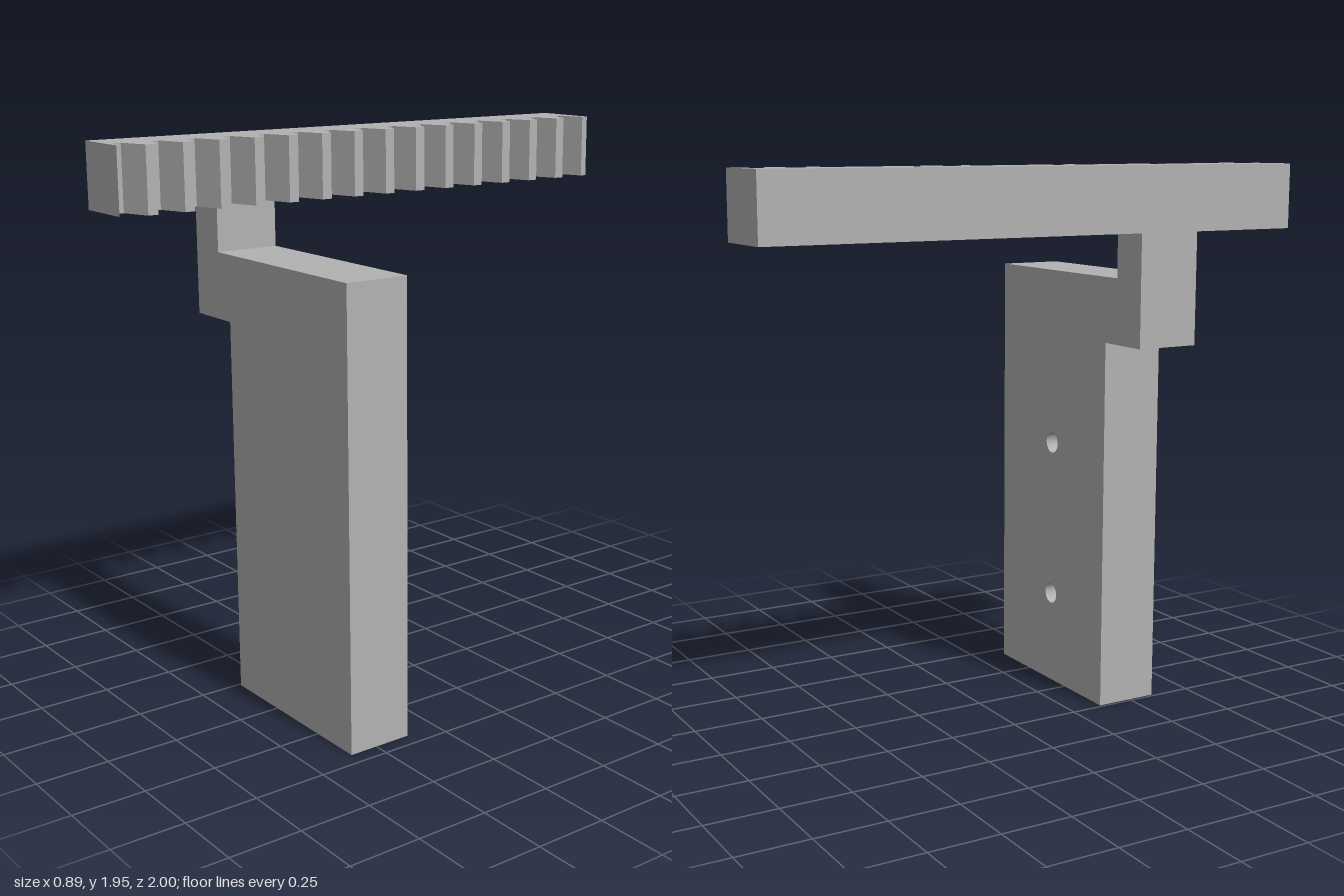
import * as THREE from 'three';

const BACK_Z = 0.37, FRONT_Z = 0.6;
const HOLE_RADIUS = 0.038, HOLE_DEPTH = 0.15;
const HOLES = [[0.1, 0.34], [0.1, 0.92]];

const extrude = (shape, depth) =>
  new THREE.ExtrudeGeometry(shape, { depth, bevelEnabled: false, curveSegments: 12 });

function part(name, geometry, material) {
  const mesh = new THREE.Mesh(geometry, material);
  mesh.name = name;
  return mesh;
}

const circle = (Type, x, y) => new Type().absarc(x, y, HOLE_RADIUS, 0, Math.PI * 2, false);

// Plan outline of the rack, drawn with shape y = -z
function rackShape() {
  const base = -0.445, root = -0.305, tip = -0.205;
  const pitch = 0.1348, halfTip = 0.0185, halfRoot = 0.053;
  const first = -0.9947;
  const points = [[base, -1], [tip, -1], [tip, first + halfTip], [root, first + halfRoot]];
  for (let i = 1; i <= 14; i++) {
    const c = first + i * pitch;
    points.push([root, c - halfRoot], [tip, c - halfTip], [tip, c + halfTip], [root, c + halfRoot]);
  }
  // partial flank cut off by the end face
  points.push([root, first + 15 * pitch - halfRoot], [-0.23, 1], [base, 1]);
  return new THREE.Shape(points.map(([x, z]) => new THREE.Vector2(x, -z)));
}

export function createModel() {
  const model = new THREE.Group();
  model.name = 'toothedRackOnBracket';
  const grey = new THREE.MeshStandardMaterial({ color: 0xb2b2b2 });
  grey.name = 'plain grey';

  // Toothed bar
  const rack = part('toothedRack', extrude(rackShape(), 0.225), grey);
  rack.rotation.x = -Math.PI / 2;
  rack.position.y = 1.72;
  model.add(rack);

  // Plate with the stepped neck that carries the bar
  const outline = [
    [-0.24, 0], [0.445, 0], [0.445, 1.56], [-0.305, 1.56],
    [-0.305, 1.72], [-0.445, 1.72], [-0.445, 1.33], [-0.24, 1.33],
  ];
  const plateShape = new THREE.Shape(outline.map(([x, y]) => new THREE.Vector2(x, y)));
  HOLES.forEach(([x, y]) => plateShape.holes.push(circle(THREE.Path, x, y)));
  const plate = part('bracketPlate', extrude(plateShape, FRONT_Z - BACK_Z), grey);
  plate.position.z = BACK_Z;
  model.add(plate);

  // Plugs close the holes from the front, leaving them blind from the back
  HOLES.forEach(([x, y]) => {
    const plug = part('holeFloor', extrude(circle(THREE.Shape, x, y), FRONT_Z - BACK_Z - HOLE_DEPTH), grey);
    plug.position.z = BACK_Z + HOLE_DEPTH;
    model.add(plug);
  });

  return model;
}
